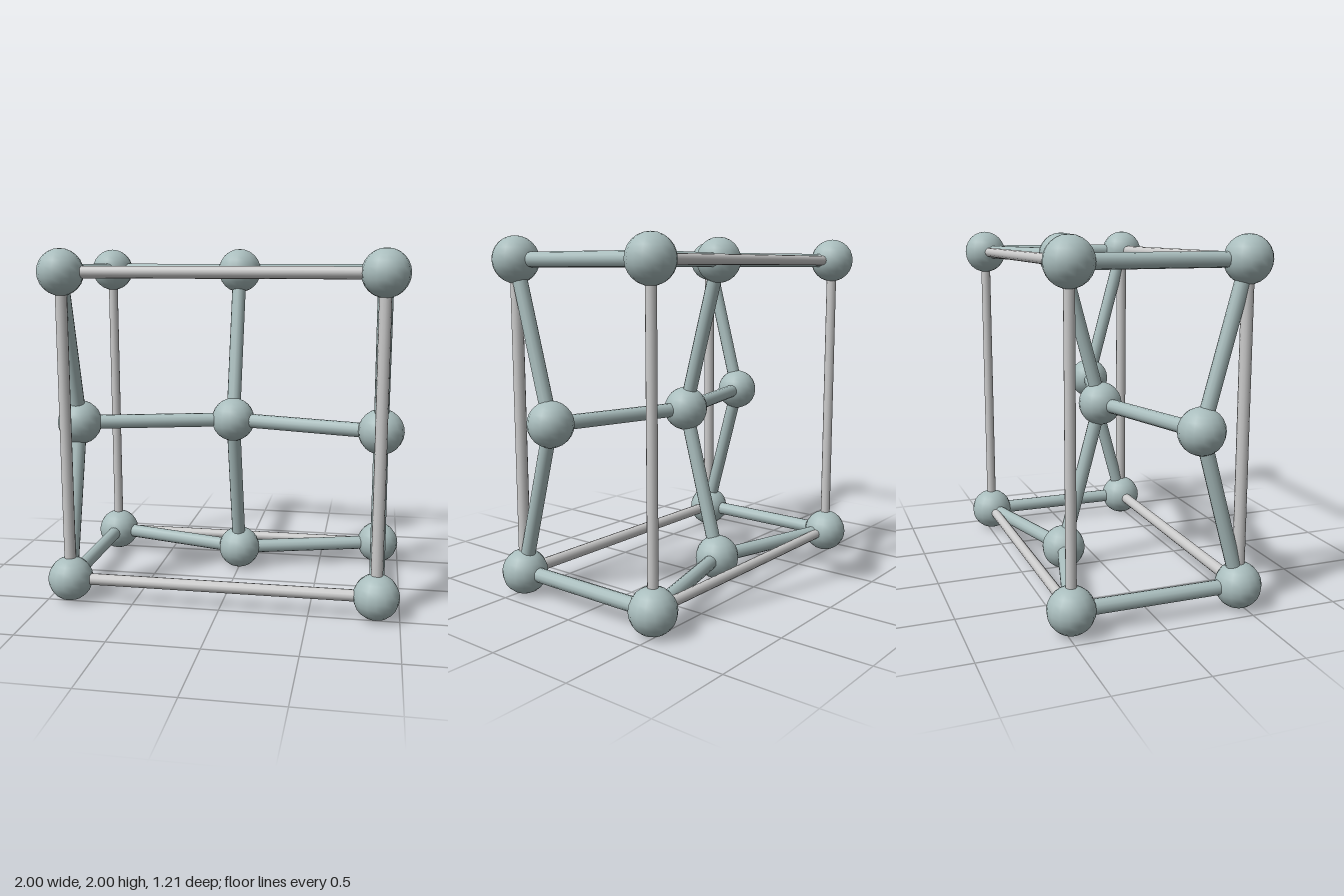
import * as THREE from 'three';

const atomMaterial = new THREE.MeshStandardMaterial({ color: 0xa9bdbd });
const frameMaterial = new THREE.MeshStandardMaterial({ color: 0xcccccc });

const X = 0.87, MID = 1, LOW = 0.13, HIGH = 1.87, Z = 0.475, INNER = 0.236;
const ATOM_RADIUS = 0.128, BOND_RADIUS = 0.041;

const ballGeometry = new THREE.SphereGeometry(ATOM_RADIUS, 16, 12);

export function createModel() {
  const model = new THREE.Group();
  model.name = 'crystalCell';

  const point = (x, y, z) => new THREE.Vector3(x, y, z);

  function addAtom(name, p) {
    const ball = new THREE.Mesh(ballGeometry, atomMaterial);
    ball.name = name;
    ball.position.copy(p);
    model.add(ball);
  }

  // Round rod running between two points
  function addRod(name, a, b, radius, material) {
    const dir = b.clone().sub(a);
    const rod = new THREE.Mesh(new THREE.CylinderGeometry(radius, radius, dir.length(), 12), material);
    rod.name = name;
    rod.position.copy(a).add(b).multiplyScalar(0.5);
    rod.quaternion.setFromUnitVectors(point(0, 1, 0), dir.normalize());
    model.add(rod);
  }
  const addBond = (a, b) => addRod('bond', a, b, BOND_RADIUS, atomMaterial);
  const addEdge = (a, b, r) => addRod('frameEdge', a, b, r, frameMaterial);

  // Atom in the middle of the cell
  const centre = point(0, MID, 0);
  addAtom('centreAtom', centre);

  // Atoms above and below the centre, bonded to the back corners
  for (const y of [LOW, HIGH]) {
    const inner = point(0, y, -INNER);
    addAtom('endAtom', inner);
    addBond(centre, inner);
    for (const x of [-X, X]) addBond(inner, point(x, y, -Z));
  }

  // Atoms at the sides, bonded to the front corners
  for (const x of [-X, X]) {
    const side = point(x, MID, INNER);
    addAtom('sideAtom', side);
    addBond(centre, side);
    for (const y of [LOW, HIGH]) addBond(side, point(x, y, Z));
  }

  // Corner atoms and the bonds joining front to back
  for (const x of [-X, X]) {
    for (const y of [LOW, HIGH]) {
      for (const z of [-Z, Z]) addAtom('cornerAtom', point(x, y, z));
      addBond(point(x, y, -Z), point(x, y, Z));
    }
  }

  // Thin grey frame around the front and back faces
  for (const z of [-Z, Z]) {
    const r = z > 0 ? 0.033 : 0.029;
    for (const y of [LOW, HIGH]) addEdge(point(-X, y, z), point(X, y, z), r);
    for (const x of [-X, X]) addEdge(point(x, LOW, z), point(x, HIGH, z), r);
  }

  return model;
}
